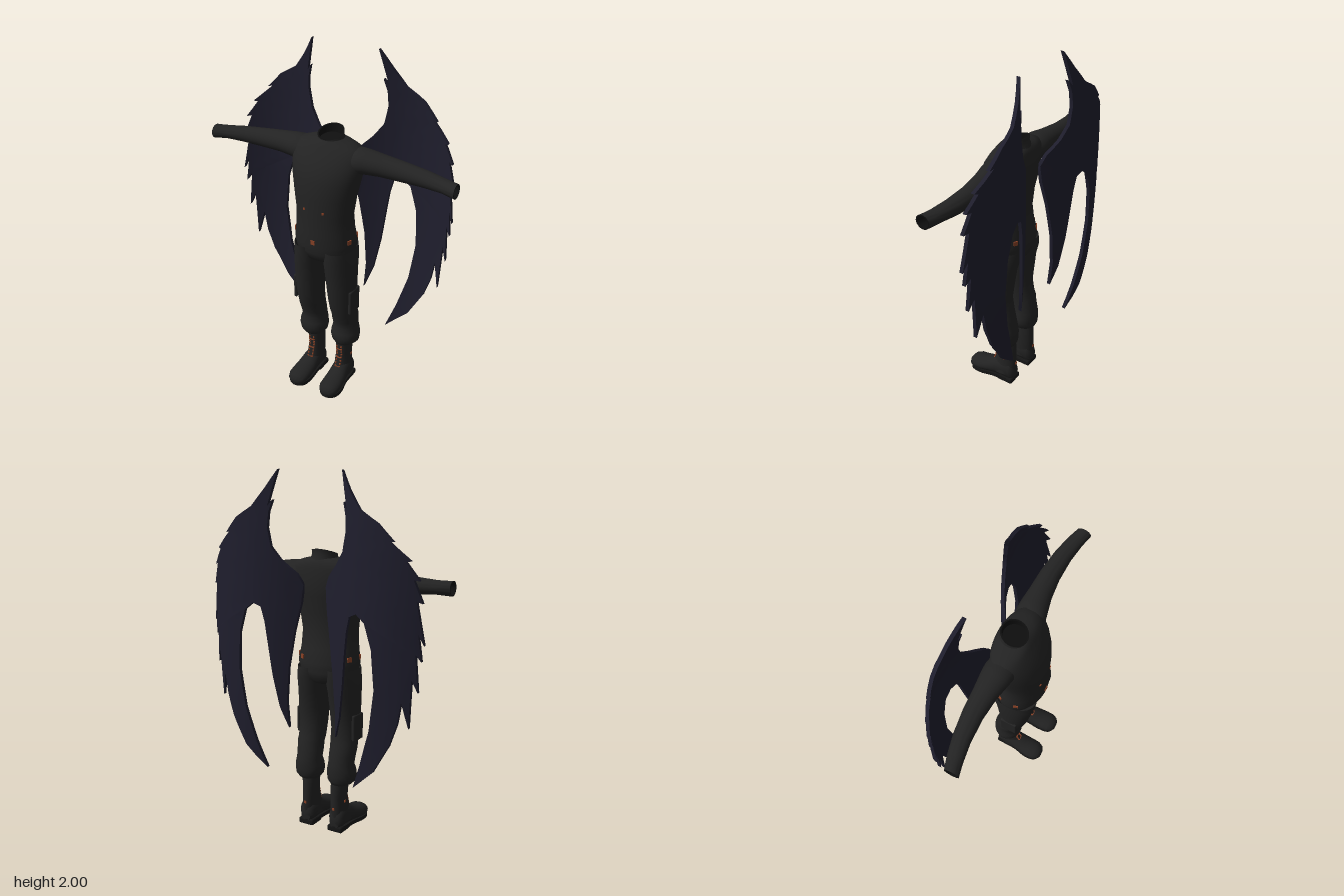
import * as THREE from 'three';
import { mergeVertices, toCreasedNormals } from 'three/addons/utils/BufferGeometryUtils.js';
import { RoundedBoxGeometry } from 'three/addons/geometries/RoundedBoxGeometry.js';

const material = (name, color, side = THREE.FrontSide) =>
  Object.assign(new THREE.MeshStandardMaterial({ color, side }), { name });

// Skin elliptical rings along an axis. Ring: [lowU, highU, lowV, highV] around position t.
// section = [t, lowU, highU, lowV, highV, tilt]; u,v are x,z (axis y), y,z (axis x) or x,y (axis z)
function loft(axis, sections, n = 28) {
  const pos = [], idx = [];
  for (const [t, u0, u1, v0, v1, tilt = 0] of sections) {
    for (let j = 0; j < n; j++) {
      const a = (j / n) * Math.PI * 2, c = Math.cos(a), s = Math.sin(a);
      const u = (u0 + u1) / 2 + (u1 - u0) / 2 * c;
      const v = (v0 + v1) / 2 + (v1 - v0) / 2 * (axis === 'y' ? s : -s);
      if (axis === 'y') pos.push(u, t - tilt * s, v);
      else if (axis === 'x') pos.push(t, u, v);
      else pos.push(u, v, t);
    }
  }
  for (let i = 0; i < sections.length - 1; i++) {
    for (let j = 0; j < n; j++) {
      const a = i * n + j, b = i * n + (j + 1) % n, d = a + n, c = b + n;
      idx.push(a, d, b, b, d, c);
    }
  }
  const g = new THREE.BufferGeometry();
  g.setAttribute('position', new THREE.Float32BufferAttribute(pos, 3));
  g.setIndex(idx);
  return toCreasedNormals(g, 0.9);
}

// Mirrored copy across x = 0 with the corner order restored
function mirrored(geo) {
  const g = geo.clone().scale(-1, 1, 1);
  const src = g.index ? Array.from(g.index.array) : Array.from({ length: g.attributes.position.count }, (_, i) => i);
  for (let i = 0; i < src.length; i += 3) [src[i + 1], src[i + 2]] = [src[i + 2], src[i + 1]];
  g.setIndex(src);
  return g;
}

// Split long edges so a flat plate can be bent smoothly
function subdivide(geo, maxLen) {
  const p = geo.attributes.position, out = [], stack = [];
  const at = i => new THREE.Vector3().fromBufferAttribute(p, i);
  for (let i = 0; i < p.count; i += 3) stack.push([at(i), at(i + 1), at(i + 2)]);
  while (stack.length) {
    const t = stack.pop();
    const len = [0, 1, 2].map(k => t[k].distanceTo(t[(k + 1) % 3]));
    const k = len.indexOf(Math.max(...len));
    if (len[k] <= maxLen) { t.forEach(v => out.push(v.x, v.y, v.z)); continue; }
    const a = t[k], b = t[(k + 1) % 3], c = t[(k + 2) % 3], m = a.clone().add(b).multiplyScalar(0.5);
    stack.push([a, m, c], [m, b, c]);
  }
  const g = new THREE.BufferGeometry();
  g.setAttribute('position', new THREE.Float32BufferAttribute(out, 3));
  return g;
}

// Ragged feathered wing, bowed backwards
function wingGeometry() {
  const outline = [
    [.195, 2.0], [.26, 1.9], [.33, 1.81], [.43, 1.75], [.51, 1.665], [.485, 1.67], [.59, 1.575], [.57, 1.57],
    [.63, 1.48], [.605, 1.485], [.645, 1.37], [.62, 1.38], [.655, 1.16], [.63, 1.22], [.645, 1.08], [.62, 1.12],
    [.632, .92], [.605, .99], [.592, .73], [.56, .87], [.54, .75], [.5, .63], [.41, .47], [.28, .35],
    [.335, .5], [.395, .7], [.425, .92], [.41, 1.13], [.37, 1.26], [.32, 1.3], [.275, 1.28], [.255, 1.2],
    [.24, 1.08], [.22, .9], [.19, .72], [.15, .6], [.155, .75], [.14, .95], [.11, 1.15], [.08, 1.3],
    [.07, 1.4], [.1, 1.46], [.17, 1.53], [.22, 1.6], [.24, 1.7], [.235, 1.78], [.216, 1.845], [.242, 1.81],
  ];
  const depth = 0.02;
  const shape = new THREE.Shape(outline.map(([x, y]) => new THREE.Vector2(x, y)));
  const g = subdivide(new THREE.ExtrudeGeometry(shape, { depth, bevelEnabled: false }), 0.09);
  const p = g.attributes.position;
  for (let i = 0; i < p.count; i++) {
    const x = p.getX(i), y = p.getY(i);
    const bow = -0.225 + 1.25 * (x - 0.38) ** 2 + 0.04 * ((y - 1.25) / 0.85) ** 2;
    p.setZ(i, bow + p.getZ(i) - depth / 2);
  }
  return toCreasedNormals(mergeVertices(g), 0.7);
}

export function createModel() {
  const root = new THREE.Group();
  root.name = 'wingedOutfit';
  const cloth = material('black cloth', 0x232323, THREE.DoubleSide);
  const leather = material('boot leather', 0x222222);
  const sole = material('boot sole', 0x161616);
  const lining = material('dark lining', 0x0f0f0f, THREE.DoubleSide);
  const feather = material('midnight feather', 0x1f1e2d);
  const rust = material('rust trim', 0x8a4226);

  const add = (name, geo, mat) => {
    const m = new THREE.Mesh(geo, mat);
    m.name = name;
    root.add(m);
    return m;
  };
  const pair = (name, geo, mat) => {
    add('left' + name, geo, mat);
    add('right' + name, mirrored(geo), mat);
  };

  // Shirt
  add('shirt', loft('y', [
    [.965, -.165, .165, -.09, .165], [.95, -.178, .178, -.105, .178], [.975, -.18, .18, -.106, .18],
    [1.05, -.168, .168, -.088, .177], [1.14, -.163, .163, -.077, .175], [1.25, -.178, .178, -.086, .175],
    [1.34, -.195, .195, -.104, .168], [1.4, -.205, .205, -.11, .152], [1.45, -.208, .208, -.108, .128],
    [1.49, -.2, .2, -.105, .103], [1.515, -.175, .175, -.1, .085], [1.532, -.125, .125, -.092, .074],
    [1.545, -.07, .07, -.08, .06],
  ], 40), cloth);

  // Upright collar, lower at the front
  add('collar', loft('y', [
    [1.525, -.08, .08, -.09, .075, .01], [1.55, -.07, .07, -.078, .06, .015], [1.57, -.07, .07, -.082, .06, .022],
  ]), cloth);
  add('collarLining', loft('y', [
    [1.57, -.07, .07, -.082, .06, .022], [1.57, -.062, .062, -.074, .052, .022],
    [1.535, -.06, .06, -.07, .045, .01], [1.535, 0, 0, -.01, -.01],
  ]), lining);

  // Sleeves with open cuffs
  pair('Sleeve', loft('x', [
    [.1, 1.4, 1.5, -.075, .06], [.17, 1.375, 1.52, -.088, .075], [.22, 1.385, 1.516, -.086, .064],
    [.3, 1.388, 1.505, -.08, .046], [.42, 1.386, 1.49, -.076, .033], [.55, 1.391, 1.478, -.06, .036],
    [.65, 1.396, 1.468, -.038, .05], [.69, 1.393, 1.467, -.026, .058], [.725, 1.39, 1.468, -.014, .066],
  ]), cloth);
  pair('CuffLining', loft('x', [
    [.725, 1.39, 1.468, -.014, .066], [.725, 1.397, 1.461, -.007, .059],
    [.66, 1.403, 1.46, -.028, .042], [.66, 1.43, 1.43, .007, .007],
  ]), lining);

  // Trousers: seat, baggy legs and side pockets
  add('trouserSeat', loft('y', [
    [.85, 0, 0, .03, .03], [.855, -.08, .08, -.06, .11], [.875, -.15, .15, -.085, .15],
    [.92, -.176, .176, -.092, .166], [.97, -.17, .17, -.095, .168],
  ], 36), cloth);
  pair('TrouserLeg', loft('y', [
    [.27, .06, .13, -.05, .045], [.285, .042, .165, -.07, .066], [.305, .026, .186, -.079, .076],
    [.335, .02, .191, -.081, .081], [.365, .023, .188, -.083, .078], [.4, .032, .178, -.08, .066],
    [.45, .03, .181, -.07, .08], [.49, .032, .185, -.064, .092], [.52, .028, .183, -.055, .102],
    [.6, .025, .184, -.042, .122], [.7, .018, .186, -.055, .137], [.8, .01, .185, -.069, .15],
    [.88, .003, .182, -.09, .162], [.94, 0, .176, -.09, .163],
  ]), cloth);
  pair('SidePocket', new RoundedBoxGeometry(.02, .15, .1, 2, .008).translate(.179, .61, .04), cloth);

  // Boots
  pair('BootShaft', loft('y', [
    [.06, .045, .15, -.065, .1], [.1, .049, .143, -.07, .092], [.13, .05, .138, -.071, .072],
    [.2, .052, .135, -.07, .052], [.27, .05, .14, -.068, .056], [.3, .055, .135, -.065, .055],
  ]), leather);
  pair('BootFoot', loft('z', [
    [-.07, .096, .096, .06, .06], [-.066, .065, .127, .02, .11], [-.045, .05, .143, .012, .145],
    [0, .047, .145, .015, .16], [.05, .046, .152, .02, .142], [.1, .044, .16, .018, .113],
    [.15, .043, .166, .012, .098], [.19, .045, .165, .012, .092], [.218, .058, .153, .014, .08],
    [.232, .08, .132, .022, .062], [.234, .105, .105, .04, .04],
  ]), leather);
  const tread = new THREE.Shape();
  tread.moveTo(.055, .055);
  tread.splineThru([[.05, -.06], [.044, -.14], [.055, -.205], [.105, -.232], [.155, -.205], [.165, -.14],
    [.148, -.06], [.14, .04], [.096, .068], [.055, .055]].map(([x, y]) => new THREE.Vector2(x, y)));
  pair('BootSole', new THREE.ExtrudeGeometry(tread, { depth: .022, bevelEnabled: false })
    .rotateX(-Math.PI / 2).translate(0, .012, 0), sole);
  pair('BootHeel', new RoundedBoxGeometry(.095, .035, .1, 2, .01).translate(.096, .0175, -.018), sole);

  // Boot laces: two columns of eyelets with cross bars
  for (let i = 0; i < 8; i++) {
    const y = .125 + i * .019;
    const z = (y < .2 ? .052 + (.2 - y) * .29 : .052 + (y - .2) * .057) + .001;
    for (const dx of [-.014, .014])
      pair('Eyelet', new THREE.BoxGeometry(.008, .009, .008).translate(.094 + dx, y, z - .003), rust);
    if (i % 3 === 0) pair('LaceBar', new THREE.BoxGeometry(.026, .005, .006).translate(.094, y, z), rust);
  }
  pair('AnkleStud', new THREE.BoxGeometry(.006, .014, .014).translate(.136, .18, -.015), rust);
  pair('HeelStud', new THREE.BoxGeometry(.014, .014, .006).translate(.094, .14, -.071), rust);

  // Rust trim on the shirt, set flush on its oval cross-section
  const trim = (name, angle, y, size, rx, cz, rz) => {
    const c = Math.cos(angle), s = Math.sin(angle);
    const m = add(name, new THREE.BoxGeometry(size, size, .007), rust);
    m.position.set(rx * c, y, cz + rz * s);
    m.rotation.y = Math.atan2(c / rx, s / rz);
  };
  for (const a of [Math.PI / 2, .3, Math.PI - .3, -.42, Math.PI + .42, -.95, Math.PI + .95])
    trim('hemTrim', a, 1.0, .025, .177, .0385, .141);
  for (const a of [1.23, Math.PI - 1.23]) trim('chestStud', a, 1.185, .012, .17, .047, .129);

  // Wings
  pair('Wing', wingGeometry(), feather);
  return root;
}
